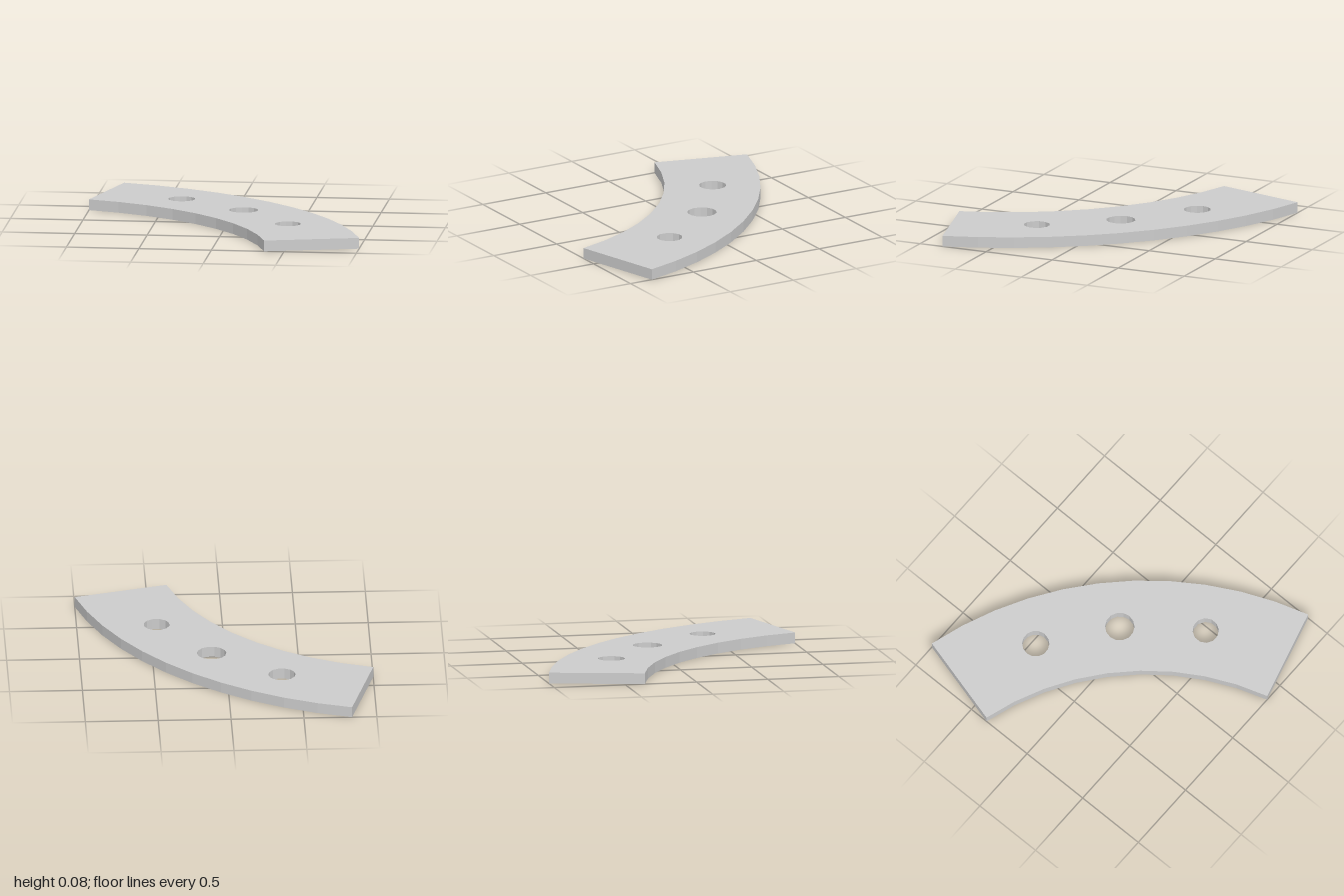
import * as THREE from 'three';

const CENTRE = -1.5; // arc centre, same offset on both plan axes
const OUTER = 2.588, INNER = 1.93, MIDDLE = 2.259;
const THICKNESS = 0.075;

// Points along an arc, angles in degrees
function arc(cx, cy, radius, from, to, segments) {
  const points = [];
  for (let i = 0; i <= segments; i++) {
    const a = THREE.MathUtils.degToRad(from + (to - from) * i / segments);
    points.push(new THREE.Vector2(cx + radius * Math.cos(a), cy + radius * Math.sin(a)));
  }
  return points;
}

export function createModel() {
  const group = new THREE.Group();
  group.name = 'curvedPlate';

  // Ring sector spanning 60 degrees
  const outline = new THREE.Shape([
    ...arc(CENTRE, CENTRE, OUTER, 15, 75, 11),
    ...arc(CENTRE, CENTRE, INNER, 75, 15, 9),
  ]);

  // Bolt holes on the middle radius: angle, radius, sides, rotation
  const holes = [[30, 0.09, 12, 15], [45, 0.101, 14, 0], [60, 0.0935, 14, 0]];
  for (const [angle, radius, sides, turn] of holes) {
    const a = THREE.MathUtils.degToRad(angle);
    const x = CENTRE + MIDDLE * Math.cos(a), y = CENTRE + MIDDLE * Math.sin(a);
    outline.holes.push(new THREE.Path(arc(x, y, radius, turn + 360, turn, sides)));
  }

  // Lay the extrusion flat on the ground
  const geometry = new THREE.ExtrudeGeometry(outline, { depth: THICKNESS, bevelEnabled: false });
  geometry.rotateX(-Math.PI / 2);

  const plate = new THREE.Mesh(
    geometry,
    new THREE.MeshStandardMaterial({ color: 0xcccccc, flatShading: true })
  );
  plate.name = 'plate';
  group.add(plate);
  return group;
}
